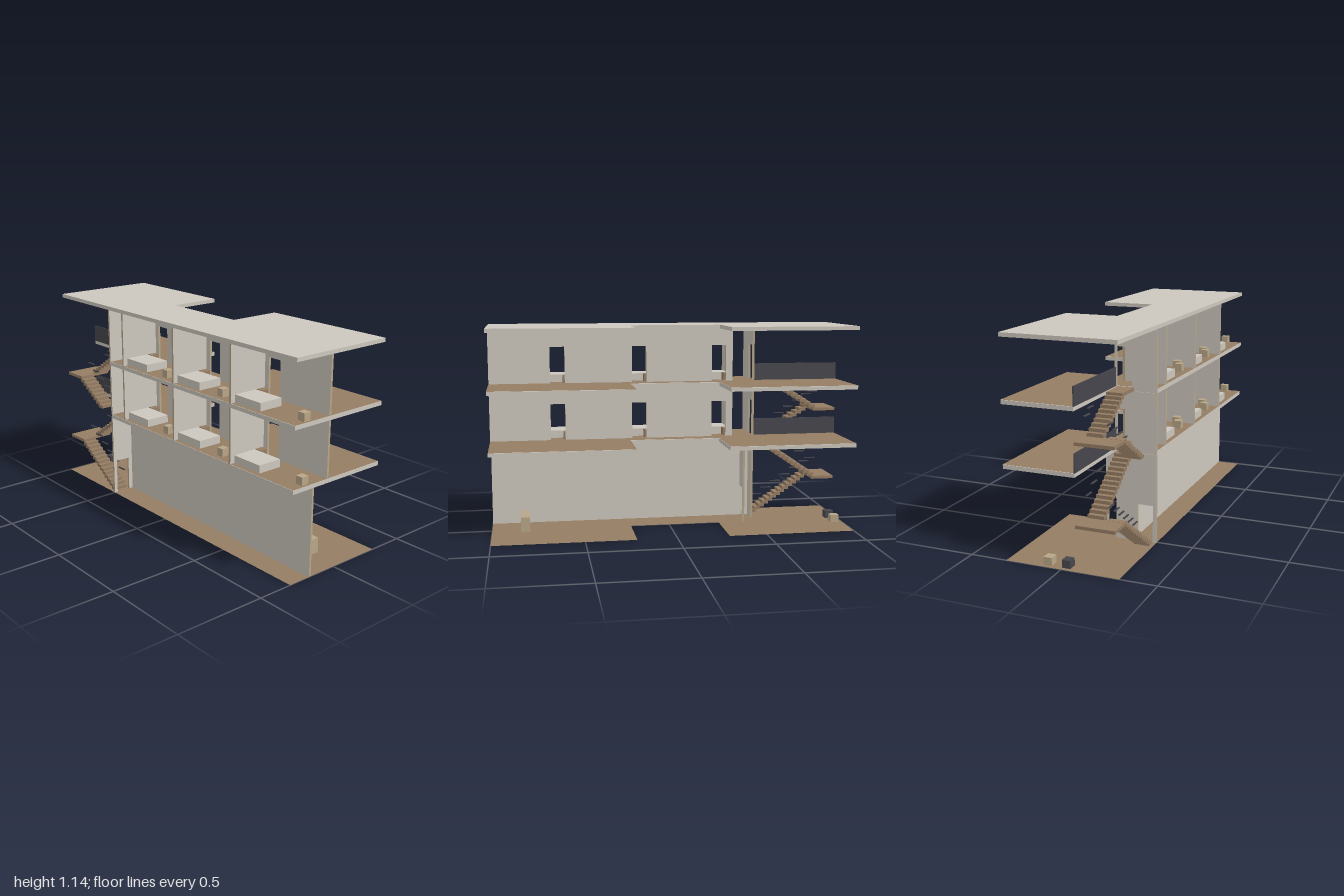
import * as THREE from 'three';

const mat = (name, color, extra = {}) => {
  const m = new THREE.MeshStandardMaterial({ color, ...extra });
  m.name = name;
  return m;
};

export function createModel() {
  const model = new THREE.Group();
  model.name = 'building';
  const plaster = mat('plaster', 0xcdc8be);
  const tan = mat('tan wood', 0xb8a688);
  const brown = mat('brown wood', 0x967d64);
  const floorMat = mat('floor brown', 0x967d64, { side: THREE.DoubleSide });
  const dark = mat('charcoal', 0x47464d);
  const T = 0.012; // wall thickness

  const add = (name, geo, material, parent = model) => {
    const mesh = new THREE.Mesh(geo, material);
    mesh.name = name;
    parent.add(mesh);
    return mesh;
  };
  // Box given by its minimum and maximum on each axis
  const box = (name, x0, x1, y0, y1, z0, z1, material, parent) => {
    const g = new THREE.BoxGeometry(x1 - x0, y1 - y0, z1 - z0);
    g.translate((x0 + x1) / 2, (y0 + y1) / 2, (z0 + z1) / 2);
    return add(name, g, material, parent);
  };
  // Wall with plaster faces, tan edges and doorways, running along x or z
  const wall = (name, axis, a, b, centre, y0, y1, doors = []) => {
    const s = new THREE.Shape();
    s.moveTo(a, y0);
    for (const [d0, d1, h] of doors) {
      s.lineTo(d0, y0); s.lineTo(d0, y0 + h);
      s.lineTo(d1, y0 + h); s.lineTo(d1, y0);
    }
    s.lineTo(b, y0); s.lineTo(b, y1); s.lineTo(a, y1);
    const g = new THREE.ExtrudeGeometry(s, { depth: T, bevelEnabled: false });
    g.translate(0, 0, -T / 2);
    if (axis === 'z') g.rotateY(-Math.PI / 2).translate(centre, 0, 0);
    else g.translate(0, 0, centre);
    return add(name, g, [plaster, tan]);
  };

  // Floor plan with a side notch and an optional stairwell cut (plan y is -z)
  const plan = (stairwell) => {
    const pts = [[-0.305, -1], [0.303, -1], [0.303, -0.22], [0.005, -0.22], [0.005, 0.29], [0.303, 0.29], [0.303, 1]];
    if (stairwell) pts.push([-0.08, 1], [-0.08, 0.505], [-0.305, 0.505]);
    else pts.push([-0.305, 1]);
    return new THREE.Shape(pts.map(([x, y]) => new THREE.Vector2(x, y)));
  };
  const sheet = (name, stairwell, y) =>
    add(name, new THREE.ShapeGeometry(plan(stairwell)).rotateX(-Math.PI / 2).translate(0, y, 0), floorMat);
  const slab = (name, stairwell, y) =>
    add(name, new THREE.ExtrudeGeometry(plan(stairwell), { depth: 0.021, bevelEnabled: false })
      .rotateX(-Math.PI / 2).translate(0, y, 0), plaster);

  sheet('groundFloor', false, 0);
  slab('firstSlab', true, 0.474);
  sheet('firstFloor', true, 0.4965);
  slab('secondSlab', true, 0.795);
  sheet('secondFloor', true, 0.8175);
  slab('roof', false, 1.119);

  // Ground storey walls
  wall('groundLongWall', 'z', -0.499, 1, -0.169, 0, 0.474);
  wall('groundStairWall', 'x', -0.305, -0.08, -0.505, 0, 0.474, [[-0.285, -0.2, 0.2]]);
  wall('entranceLintel', 'x', -0.07, -0.003, -0.435, 0.2, 0.474);
  wall('entranceJamb', 'x', -0.003, 0.008, -0.435, 0, 0.474);

  // Upper storeys: corridor wall, room partitions, furniture, balustrade
  const rooms = [-0.38, 0.08, 0.54];
  for (const [y0, y1] of [[0.495, 0.795], [0.816, 1.119]]) {
    wall('corridorWall', 'z', -0.38, 1, -0.07, y0, y1, rooms.map((z) => [z + 0.04, z + 0.122, 0.205]));
    wall('upperStairWall', 'x', -0.305, -0.075, -0.505, y0, y1, [[-0.17, -0.087, 0.205]]);
    const f = y0 + 0.001, top = f + 0.043;
    rooms.forEach((z, i) => {
      wall('partition', 'x', -0.305, -0.076, z + 0.006, y0, y1);
      box('bed', -0.28, -0.14, f, top, z + 0.015, z + 0.2, plaster);
      box('desk', -0.134, -0.086, f, top, z + 0.013, z + 0.05, brown);
      box('stool', -0.233, -0.191, f, top, z + 0.405, z + 0.447, tan);
      if (i < 2) box('sideStool', -0.27, -0.228, f, top, z + 0.33, z + 0.37, tan);
    });
    box('balustrade', -0.083, -0.077, y0, y0 + 0.097, -1, -0.505, dark);
  }

  // Two-flight stairs with a landing and a row of short rail bars
  const stairs = (name, y0, y1, zStart, steps, bars) => {
    const g = new THREE.Group();
    g.name = name;
    model.add(g);
    const zEnd = -0.88, mid = (y0 + y1) / 2, dz = (zEnd - zStart) / steps, dy = (mid - y0) / steps;
    box('landing', -0.285, -0.08, mid - 0.017, mid, -1, zEnd + 0.01, brown, g);
    for (let i = 0; i < steps; i++) {
      const z = zStart + dz * i, y = y0 + dy * i;
      box('lowerTread', -0.285, -0.2, y, y + 0.018, z + dz - 0.008, z + 0.004, brown, g);
      const u = mid + dy * i, w = zEnd - dz * i;
      box('upperTread', -0.178, -0.09, u, u + 0.018, w - 0.004, w - dz + 0.008, brown, g);
    }
    for (const [x, y, z] of bars) box('railBar', x - 0.004, x + 0.004, y - 0.003, y + 0.003, z - 0.031, z + 0.031, dark, g);
  };
  const lowerBars = [];
  for (let i = 0; i < 6; i++) lowerBars.push([-0.207, 0.113 + i * 0.0387, -0.563 - i * 0.059]);
  for (let i = 0; i < 3; i++) lowerBars.push([-0.085, 0.349 + i * 0.0425, -0.855 + i * 0.062]);
  const upperBars = [];
  for (let i = 0; i < 4; i++) upperBars.push([-0.207, 0.605 + i * 0.037, -0.7 - i * 0.055]);
  for (let i = 0; i < 2; i++) upperBars.push([-0.085, 0.747 + i * 0.03, -0.865 + i * 0.042]);
  stairs('lowerStairs', 0, 0.475, -0.53, 14, lowerBars);
  stairs('upperStairs', 0.495, 0.8, -0.64, 9, upperBars);
  box('topStep', -0.178, -0.09, 0.797, 0.815, -0.65, -0.505, brown);

  // Ground furniture
  box('receptionDesk', -0.105, 0.055, 0.001, 0.085, 0.79, 0.84, tan);
  box('tanSeat', 0.06, 0.105, 0.001, 0.042, -0.98, -0.93, tan);
  box('darkSeat', -0.04, 0.005, 0.001, 0.042, -0.98, -0.93, dark);

  return model;
}
